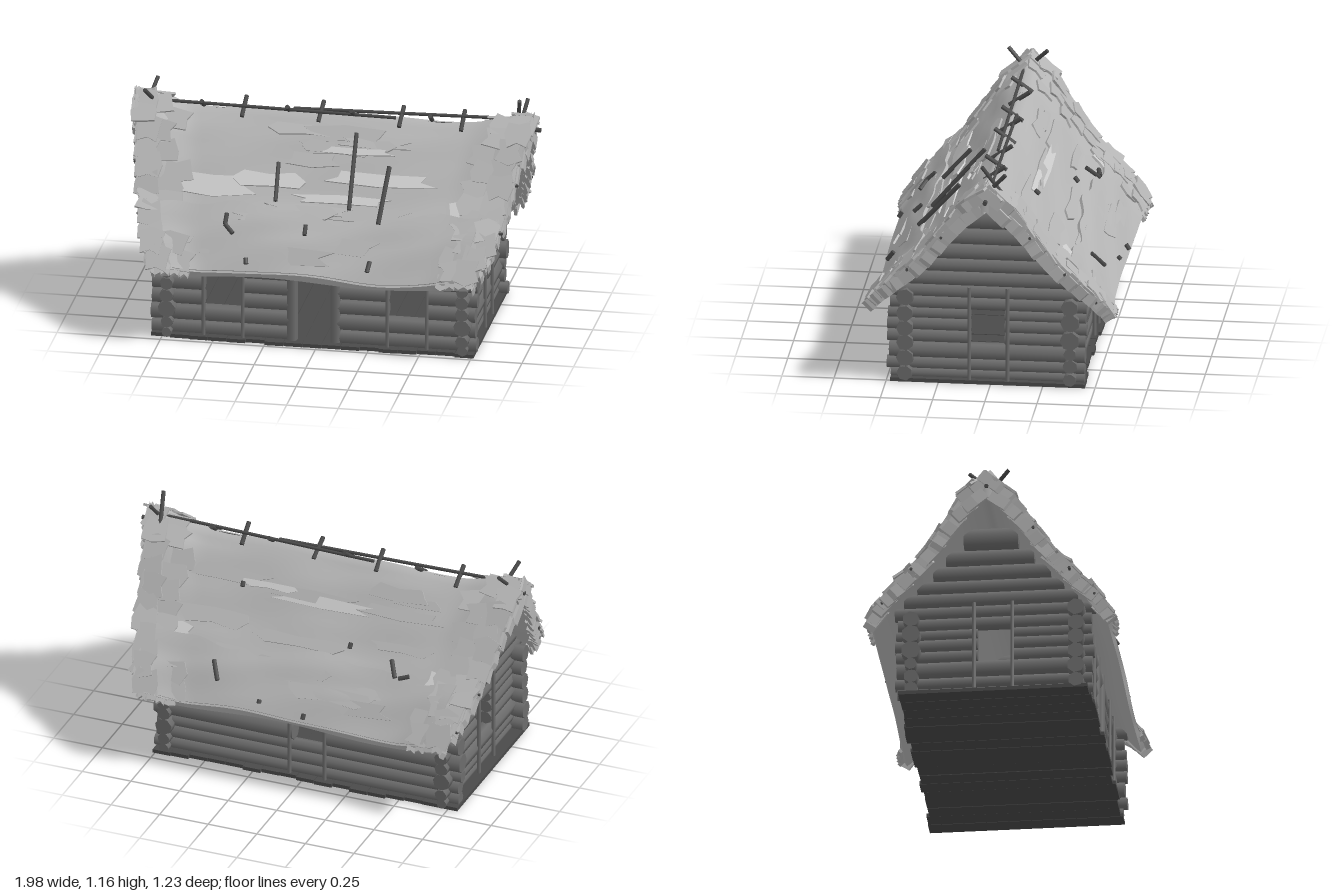
import * as THREE from 'three';

const wood = new THREE.MeshStandardMaterial({ color: 0x6c6c6c });
const darkWood = new THREE.MeshStandardMaterial({ color: 0x4a4a4a });
const thatch = new THREE.MeshStandardMaterial({ color: 0xb4b4b4 });
const tuftMat = new THREE.MeshStandardMaterial({ color: 0xb4b4b4, flatShading: true });
const paleMat = new THREE.MeshStandardMaterial({ color: 0xcccccc, flatShading: true });

let seed = 7;
const rnd = () => (seed = (seed * 16807) % 2147483647) / 2147483647;
const jit = (a) => (rnd() * 2 - 1) * a;
const V = (x, y, z) => new THREE.Vector3(x, y, z);

function add(parent, name, geo, mat) {
  const m = new THREE.Mesh(geo, mat);
  m.name = name;
  parent.add(m);
  return m;
}

function group(parent, name) {
  const g = new THREE.Group();
  g.name = name;
  parent.add(g);
  return g;
}

// Round bar between two points
function rod(parent, name, a, b, r, sides = 7, mat = wood, r2 = r) {
  const d = b.clone().sub(a);
  const m = add(parent, name, new THREE.CylinderGeometry(r2, r, d.length(), sides), mat);
  m.position.copy(a).add(b).multiplyScalar(0.5);
  m.quaternion.setFromUnitVectors(V(0, 1, 0), d.normalize());
}

// Wall of stacked logs; openings are [from, to, bottom, top]
function logWall(parent, name, bounds, range, openings, point) {
  const g = group(parent, name);
  for (let i = 0; i < bounds.length - 1; i++) {
    const y = (bounds[i] + bounds[i + 1]) / 2;
    const r = (bounds[i + 1] - bounds[i]) / 2 + 0.003;
    const [from, to] = range(y);
    const cuts = openings.filter((o) => y > o[2] && y < o[3]);
    const stops = [from + jit(0.01), ...cuts.flatMap((o) => [o[0], o[1]]), to + jit(0.01)];
    for (let k = 0; k < stops.length; k += 2) {
      rod(g, 'log', point(stops[k], y), point(stops[k + 1], y), r, 7, wood, r * (0.95 + rnd() * 0.07));
    }
  }
}

// Roof sections, from ridge to eave, as [z, y]
const midTop = [[0, 1.02], [0.1, 0.93], [0.2, 0.81], [0.3, 0.69], [0.4, 0.595], [0.48, 0.505], [0.57, 0.385]];
const endTop = [[0, 1.068], [0.1, 1.0], [0.2, 0.865], [0.3, 0.725], [0.4, 0.62], [0.5, 0.525], [0.59, 0.41]];
const under = [[0, 0.95], [0.1, 0.865], [0.2, 0.745], [0.3, 0.62], [0.4, 0.525], [0.48, 0.455], [0.56, 0.36]];
const halfLength = [[0.965], [0.935], [0.905], [0.878], [0.85], [0.82], [0.75]];

function sample(arr, t, k) {
  const f = Math.min(Math.max(t, 0), 1) * (arr.length - 1);
  const i = Math.min(Math.floor(f), arr.length - 2);
  return THREE.MathUtils.lerp(arr[i][k], arr[i + 1][k], f - i);
}

// u runs along the ridge, v from back eave (-1) over the ridge to the front eave (1)
function roofPoint(u, v, top, lift = 0) {
  const t = Math.abs(v), s = Math.sign(v);
  const w = THREE.MathUtils.smoothstep(Math.abs(u), 0.68, 1);
  const x = u * sample(halfLength, t, 0);
  let z, y;
  if (top) {
    z = THREE.MathUtils.lerp(sample(midTop, t, 0), sample(endTop, t, 0), w);
    y = THREE.MathUtils.lerp(sample(midTop, t, 1), sample(endTop, t, 1), w);
    y += 0.008 * Math.sin(9 * x + 11 * v) * Math.sin(17 * t + 2 * x);
  } else {
    z = sample(under, t, 0);
    y = sample(under, t, 1);
  }
  y += 0.012 * t * t * Math.sin(6 * x + 2 + s);
  return V(x, y + lift * 0.7, s * (z + lift * 0.7));
}

function warp(geo, rule) {
  const p = geo.attributes.position;
  for (let i = 0; i < p.count; i++) {
    const q = rule(p.getX(i), p.getY(i), p.getZ(i));
    p.setXYZ(i, q.x, q.y, q.z);
  }
  geo.computeVertexNormals();
  return geo;
}

// Ragged plate of thatch: l along x, w down the slope, d through the roof.
// Corners move by a rule of their own place, so the plate stays closed.
function tuft(parent, u, v, top, [l, w, d], lift, mat = tuftMat, tilt = 0.08) {
  const s = Math.sign(v);
  const down = roofPoint(u, v + 0.04 * s, top).sub(roofPoint(u, v - 0.04 * s, top)).setX(0).normalize();
  const out = V(0, Math.abs(down.z), -down.y * s);
  const a = rnd() * 6;
  const m = add(parent, 'thatchTuft', warp(new THREE.BoxGeometry(l, d, w, 2, 1, 2), (x, y, z) => {
    const k = Math.sin(a + 31 * (x / l) + 17 * (z / w));
    return V(x * (1 + 0.22 * k), y, z * (1 - 0.25 * k));
  }), mat);
  m.quaternion.setFromRotationMatrix(new THREE.Matrix4().makeBasis(out.clone().cross(down), out, down));
  m.rotateX(jit(tilt));
  m.rotateZ(jit(tilt));
  m.position.copy(roofPoint(u, v, top, lift));
}

export function createModel() {
  seed = 7;
  const model = new THREE.Group();
  model.name = 'logCabin';

  // Floor of ragged planks
  const floor = group(model, 'floor');
  for (let i = 0; i < 17; i++) {
    add(floor, 'plank', new THREE.BoxGeometry(0.09, 0.018, 0.92 + jit(0.015)), darkWood)
      .position.set(-0.756 + i * 0.092, 0.011 + jit(0.002), 0.017 + jit(0.01));
  }

  // Long walls
  const longRange = () => [-0.8, 0.765];
  logWall(model, 'frontWall', [0.01, 0.08, 0.16, 0.235, 0.31, 0.385, 0.465], longRange,
    [[-0.55, -0.36, 0.17, 0.385], [-0.125, 0.085, 0, 0.385], [0.34, 0.53, 0.17, 0.385]], (x, y) => V(x, y, 0.41));
  logWall(model, 'backWall', [0.01, 0.07, 0.135, 0.19, 0.28, 0.365, 0.44], longRange,
    [[-0.1, 0.055, 0.19, 0.365]], (x, y) => V(x, y, -0.38));

  // Gable walls, running up into the roof
  const gableBounds = [0.01, 0.055, 0.11, 0.19, 0.25, 0.31, 0.36, 0.42, 0.48, 0.55, 0.615, 0.69, 0.77, 0.88];
  const gableRange = (y) => {
    if (y < 0.46) return [-0.455, 0.49];
    let t = 0;
    while (sample(under, t, 1) > y - 0.005) t += 0.01;
    const h = sample(under, t, 0);
    return [-h, h];
  };
  for (const s of [-1, 1]) {
    const wallX = s * 0.715 - 0.008;
    logWall(model, s > 0 ? 'leftGable' : 'rightGable', gableBounds, gableRange,
      [[-0.065, 0.1, 0.19, 0.36]], (z, y) => V(wallX, y, z));
    for (const z of [-0.08, 0.103]) {
      rod(model, 'windowPost', V(wallX + s * 0.042, 0.005, z), V(wallX + s * 0.042, 0.485, z), 0.009, 6);
    }
  }

  // Door and window posts
  for (const x of [-0.125, 0.085]) rod(model, 'doorPost', V(x, 0.01, 0.43), V(x, 0.47, 0.43), 0.027);
  for (const x of [-0.55, -0.36, 0.34, 0.53]) rod(model, 'windowPost', V(x, 0.01, 0.452), V(x, 0.46, 0.452), 0.009, 6);
  for (const x of [-0.11, 0.07]) rod(model, 'windowPost', V(x, 0.005, -0.42), V(x, 0.44, -0.42), 0.009, 6);

  // Thatched roof shell
  add(model, 'roof', warp(new THREE.BoxGeometry(2, 1, 2, 60, 1, 36), (x, y, z) => roofPoint(x, z, y > 0)), thatch);

  // Overlapping lower courses with a wavy upper edge
  for (const s of [-1, 1]) {
    add(model, 'lowerThatch', warp(new THREE.BoxGeometry(1.8, 1, 1, 48, 1, 10), (x, y, z) => {
      const start = 0.6 + 0.03 * Math.sin(5 * x + s) + 0.015 * Math.sin(17 * x);
      const k = z * s + 0.5;
      return roofPoint(x, s * (start + (0.99 - start) * k), true, y > 0 ? 0.016 * (1 - 0.6 * k) : -0.004);
    }), thatch);
  }

  // Loose strips over the slopes, ragged plates along the rakes
  const tufts = group(model, 'thatchTufts');
  for (const s of [-1, 1]) {
    for (let i = 0; i < 16; i++) {
      tuft(tufts, jit(0.6), s * (0.12 + rnd() * 0.8), true, [0.2 + rnd() * 0.25, 0.04 + rnd() * 0.04, 0.01], 0.003, tuftMat, 0.03);
    }
    for (const e of [-1, 1]) {
      for (let i = 0; i < 11; i++) {
        const v = s * (0.07 + i * 0.087);
        tuft(tufts, e * (0.96 + jit(0.02)), v, true, [0.11, 0.115, 0.012], 0);
        tuft(tufts, e * (0.86 + jit(0.05)), v, true, [0.16, 0.1, 0.01], 0.001, tuftMat, 0.04);
        tuft(tufts, e * (1.0 + rnd() * 0.012), v, true, [0.015, 0.12, 0.06], -0.03);
        tuft(tufts, e * (0.995 + rnd() * 0.012), v, false, [0.015, 0.11, 0.06], 0.022);
      }
      for (let i = 0; i < 4; i++) {
        tuft(tufts, e * (0.82 + i * 0.06), s * 0.985, true, [0.045, 0.07, 0.02], -0.012);
      }
    }
  }

  // Pale worn patches: [u, v, length, width]
  const patches = [[-0.6, 0.46, 0.34, 0.1], [-0.3, 0.42, 0.3, 0.07], [0.15, 0.24, 0.3, 0.03], [0.3, 0.38, 0.45, 0.06],
    [0.1, 0.5, 0.4, 0.04], [0.76, 0.56, 0.09, 0.12], [0.0, -0.3, 0.45, 0.05], [0.3, -0.27, 0.25, 0.03],
    [-0.78, -0.6, 0.1, 0.08], [0.76, -0.6, 0.1, 0.08]];
  for (const [u, v, l, w] of patches) tuft(tufts, u, v, true, [l, w, 0.012], 0.004, paleMat, 0.02);

  // Ridge poles and pegs
  rod(model, 'ridgePole', V(-0.97, 1.0, 0), V(1.0, 1.0, 0), 0.011, 6, darkWood);
  rod(model, 'ridgePole', V(-0.86, 1.035, 0.018), V(0.3, 1.02, 0.015), 0.008, 6, darkWood);
  rod(model, 'ridgePole', V(-0.2, 1.022, -0.018), V(0.92, 1.045, -0.015), 0.008, 6, darkWood);
  [-0.63, -0.44, -0.22, -0.07, 0.1, 0.32, 0.47, 0.62].forEach((x, i) => {
    const s = i % 2 ? 1 : -1;
    rod(model, 'ridgePeg', V(x, 0.985, 0.045 * s), V(x + jit(0.01), 1.055, -0.055 * s), 0.011, 6, darkWood);
  });

  // Crossed sticks at the ridge ends
  for (const [x, tilt, z, y] of [[-0.9, 0.04, 0.1, 1.11], [-0.87, -0.03, -0.09, 1.11], [0.9, -0.02, 0.025, 1.15], [0.92, -0.02, -0.09, 1.12]]) {
    rod(model, 'crossedStick', V(x + tilt, 1.02, z > 0 ? z - 0.09 : 0.0), V(x, y, z), 0.01, 6, darkWood);
  }

  // Sticks and pegs holding the thatch: [x, start, end, sideways shift]
  const sticks = [
    [-0.23, 0.32, 0.54, 0], [0.12, 0.14, 0.56, 0.02], [0.3, 0.31, 0.64, 0], [-0.47, 0.64, 0.72, -0.01],
    [-0.48, 0.72, 0.78, 0.04], [-0.065, 0.68, 0.76, 0], [0.3, 0.88, 0.94, 0], [-0.38, 0.93, 0.96, 0],
    [-0.48, -0.62, -0.52, 0.05], [-0.5, -0.62, -0.6, -0.05], [0.45, -0.86, -0.74, 0.03], [-0.07, -0.98, -0.95, 0],
    [0.2, -0.95, -0.93, 0], [-0.2, -0.5, -0.47, 0], [0.4, -0.3, -0.27, 0],
  ];
  for (const [x, a, b, dx] of sticks) {
    rod(model, 'thatchStick', roofPoint(x / 0.9, a, true, 0.02), roofPoint((x + dx) / 0.9, b, true, 0.02), 0.011, 6, darkWood);
  }

  // Pegs poking out of the rakes
  for (const s of [-1, 1]) {
    for (const v of [-0.9, -0.65, -0.38, 0.4, 0.68, 0.88]) {
      const p = roofPoint(s * 0.95, v, true, -0.03);
      rod(model, 'rakePeg', p, p.clone().add(V(s * 0.08, 0.01, 0)), 0.007, 6, darkWood);
    }
  }

  return model;
}
